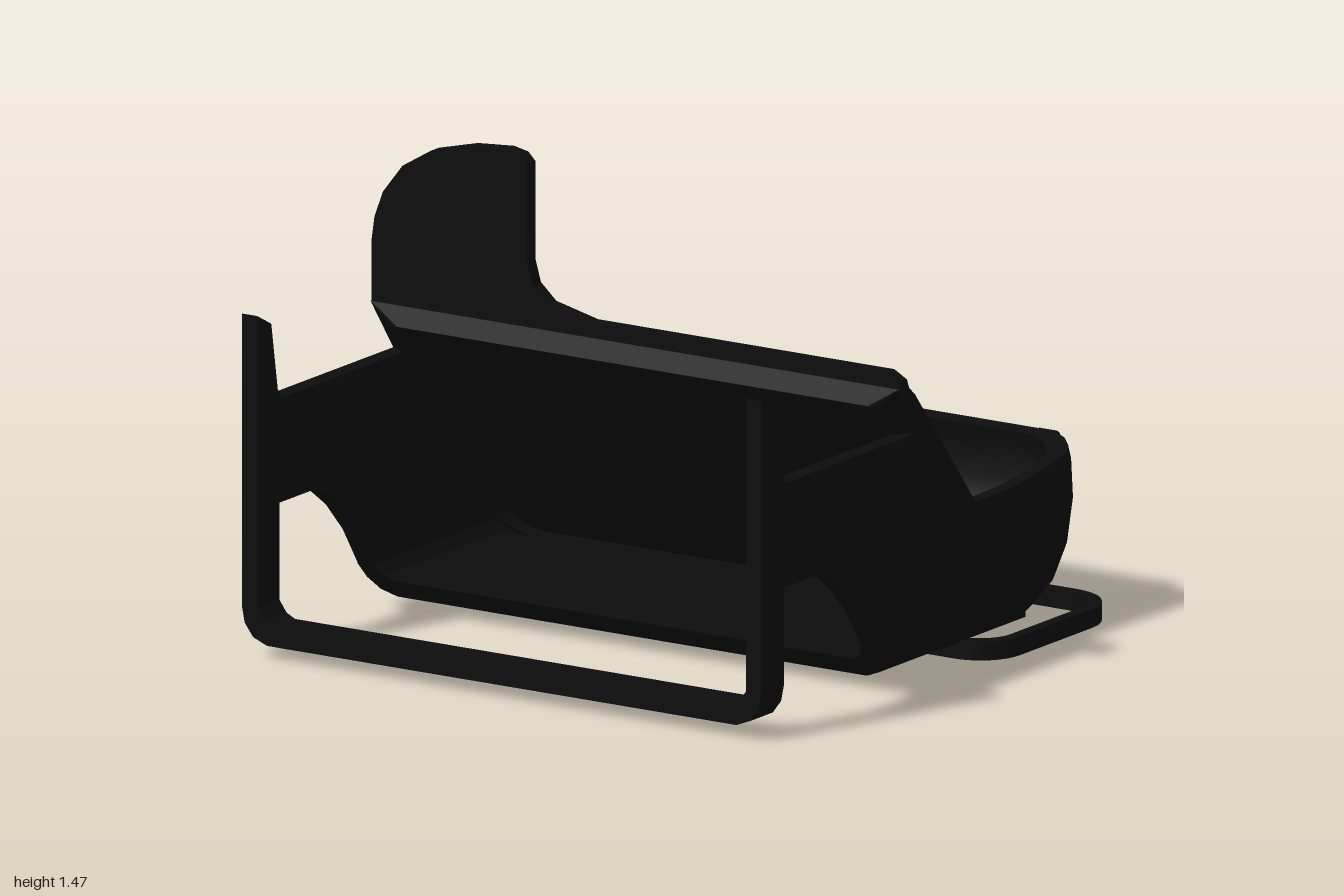
import * as THREE from 'three';

const black = new THREE.MeshStandardMaterial({ color: 0x0d0d0d, side: THREE.DoubleSide });
black.name = 'black plastic';
const yellow = new THREE.MeshStandardMaterial({ color: 0xe2d010 });
yellow.name = 'yellow';

const lerp = THREE.MathUtils.lerp;
const poly = (pts) => new THREE.Shape(pts.map(([x, y]) => new THREE.Vector2(x, y)));
const extrude = (shape, depth) =>
  new THREE.ExtrudeGeometry(shape, { depth, bevelEnabled: false, curveSegments: 4 });

// depth of the sloping panel's rear face at a given height
const panelZ = (y) => 0.15 - (0.93 - y) * 0.81;

// move every vertex's z by a rule
function moveZ(geo, rule) {
  const p = geo.attributes.position;
  for (let i = 0; i < p.count; i++) p.setZ(i, rule(p.getY(i), p.getZ(i)));
  geo.computeVertexNormals();
  return geo;
}

// rectangle with rounded corners: rb at the low-y end, rt at the high-y end
function roundRect(x, y0, y1, rb, rt, Type = THREE.Shape) {
  const s = new Type();
  s.absarc(x - rb, y0 + rb, rb, -Math.PI / 2, 0);
  s.absarc(x - rt, y1 - rt, rt, 0, Math.PI / 2);
  s.absarc(-x + rt, y1 - rt, rt, Math.PI / 2, Math.PI);
  s.absarc(-x + rb, y0 + rb, rb, Math.PI, Math.PI * 1.5);
  s.closePath();
  return s;
}

// U section seen from the front: floor with rounded lower corners
function uShape() {
  const half = [[0.93, 0.15], [0.92, 0.1], [0.89, 0.06], [0.84, 0.04]];
  const inner = [[0.82, 0.1], [0.85, 0.115], [0.875, 0.15]];
  const flip = (a) => a.map(([x, y]) => [-x, y]).reverse();
  return poly([...half, ...flip(half), ...flip(inner), ...inner]);
}

// rear tub: U-shaped plan loops stacked by height, inset for the inner skin
const tubBack = [[0, -0.61], [0.09, -0.70], [0.21, -0.77], [0.39, -0.83], [0.65, -0.862], [0.9, -0.852], [1, -0.835]];
const tubWidth = [0.87, 0.905, 0.925, 0.93, 0.93, 0.93, 0.93];
function rimY(z) {
  const k = THREE.MathUtils.clamp((-z - 0.38) / 0.45, 0, 1);
  return 0.49 + 0.07 * k * k * 0.6 + 0.028 * k;
}
function tubRow(i, inset) {
  const [t, back] = tubBack[i];
  const w = tubWidth[i] - inset;
  const zb = back + inset;
  const low = 0.055 + inset * 0.8;
  const front = panelZ(lerp(low, 0.49, t)) + 0.02;
  const r = Math.min(0.16, Math.max(0.01, front - zb));
  const half = [];
  for (let k = 0; k <= 4; k++) half.push([w, lerp(front, zb + r, k / 4)]);
  for (let k = 1; k <= 5; k++) {
    const a = (k / 5) * Math.PI / 2;
    half.push([w - r + r * Math.cos(a), zb + r - r * Math.sin(a)]);
  }
  const all = [...half, ...half.map(([x, z]) => [-x, z]).reverse()];
  return all.map(([x, z]) => [x, lerp(low, rimY(z), t), z]);
}
function skin(rows) {
  const n = rows[0].length;
  const index = [];
  for (let i = 0; i < rows.length - 1; i++)
    for (let j = 0; j < n - 1; j++) {
      const a = i * n + j, b = a + n;
      index.push(a, a + 1, b, a + 1, b + 1, b);
    }
  const g = new THREE.BufferGeometry();
  g.setAttribute('position', new THREE.Float32BufferAttribute(rows.flat(2), 3));
  g.setIndex(index);
  g.computeVertexNormals();
  return g;
}

export function createModel() {
  const model = new THREE.Group();
  const add = (name, geo, mat = black, x = 0, y = 0, z = 0) => {
    const m = new THREE.Mesh(geo, mat);
    m.name = name;
    m.position.set(x, y, z);
    model.add(m);
    return m;
  };

  // side plates with the front posts
  const side = poly([
    [0.92, 0.15], [0.92, 1.05], [0.845, 1.01], [0.81, 0.8], [0.795, 0.77], [0.1, 0.77],
    [panelZ(0.15) + 0.03, 0.15], [0.3, 0.15], [0.38, 0.27], [0.47, 0.365], [0.56, 0.43],
    [0.635, 0.45], [0.8, 0.45], [0.8, 0.15],
  ]);
  const sideGeo = extrude(side, 0.055).rotateY(-Math.PI / 2);
  add('leftSidePlate', sideGeo, black, 0.93);
  add('rightSidePlate', sideGeo, black, -0.875);

  // lower crossbar joining the posts, and the floor
  add('frontCrossbar', extrude(uShape(), 0.12), black, 0, 0, 0.8);
  add('floor', moveZ(extrude(uShape(), 1), (y, z) =>
    lerp(panelZ(y) + 0.03, 0.22 + (y - 0.04) * 0.75, z)));

  // sloping panel with a deep front rim and a shallow ridge on its rear
  const slope = (y, z) => panelZ(y) + z;
  const outline = () => poly([
    [-0.95, 0.93], [-0.95, 0.17], [-0.92, 0.11], [-0.89, 0.06],
    [0.89, 0.06], [0.92, 0.11], [0.95, 0.17], [0.95, 0.9], [0.94, 0.93],
  ]);
  add('slopingPanel', moveZ(extrude(outline(), 0.05), slope));
  const rim = outline();
  rim.holes.push(roundRect(0.87, 0.1, 0.87, 0.1, 0.03, THREE.Path));
  add('panelRim', moveZ(extrude(rim, 0.12), (y, z) =>
    panelZ(y) + (z > 0 ? Math.min(0.12, 0.05 + (0.93 - y) * 1.2) : 0.01)));
  const ridge = roundRect(0.77, 0.17, 0.87, 0.05, 0.05);
  ridge.holes.push(roundRect(0.73, 0.21, 0.84, 0.03, 0.03, THREE.Path));
  add('panelRidge', moveZ(extrude(ridge, 0.015), (y, z) => slope(y, z - 0.01)));

  // upright top edge with the tall guard on one side
  add('guard', extrude(poly([
    [-0.95, 0.92], [0.945, 0.92], [0.935, 0.95], [0.89, 0.975], [-0.17, 0.975], [-0.32, 1.01],
    [-0.375, 1.06], [-0.395, 1.13], [-0.395, 1.43], [-0.42, 1.455], [-0.47, 1.465],
    [-0.6, 1.455], [-0.74, 1.42], [-0.84, 1.36], [-0.91, 1.27], [-0.94, 1.19], [-0.95, 1.12],
  ]), 0.046), black, 0, 0, 0.148);

  // rear tub: outer skin, inner skin and rim
  const steps = tubBack.map((_, i) => i);
  const outer = steps.map((i) => tubRow(i, 0));
  const inner = steps.map((i) => tubRow(i, 0.045));
  const flatten = (row, z) => row.map(([x, y]) => [x, y, z]);
  add('tubOuter', skin([flatten(outer[0], -0.52), ...outer]));
  add('tubInner', skin([flatten(inner[0], -0.5), ...inner]));
  add('tubRim', skin([outer[outer.length - 1], inner[inner.length - 1]]));

  // flat loop under the body
  const loop = roundRect(1, -0.92, -0.22, 0.17, 0.14);
  loop.holes.push(roundRect(0.962, -0.882, -0.258, 0.14, 0.11, THREE.Path));
  add('baseLoop', extrude(loop, 0.058).rotateX(Math.PI / 2), black, 0, 0.058);

  // roller on the tub's back edge
  const bar = (r, len) => new THREE.CylinderGeometry(r, r, len, 20).rotateZ(Math.PI / 2);
  add('roller', bar(0.026, 1.45), yellow, 0, 0.515, -0.878);
  for (const s of [1, -1])
    add(s > 0 ? 'leftRollerCap' : 'rightRollerCap', bar(0.036, 0.06), black, s * 0.752, 0.512, -0.873);

  return model;
}
